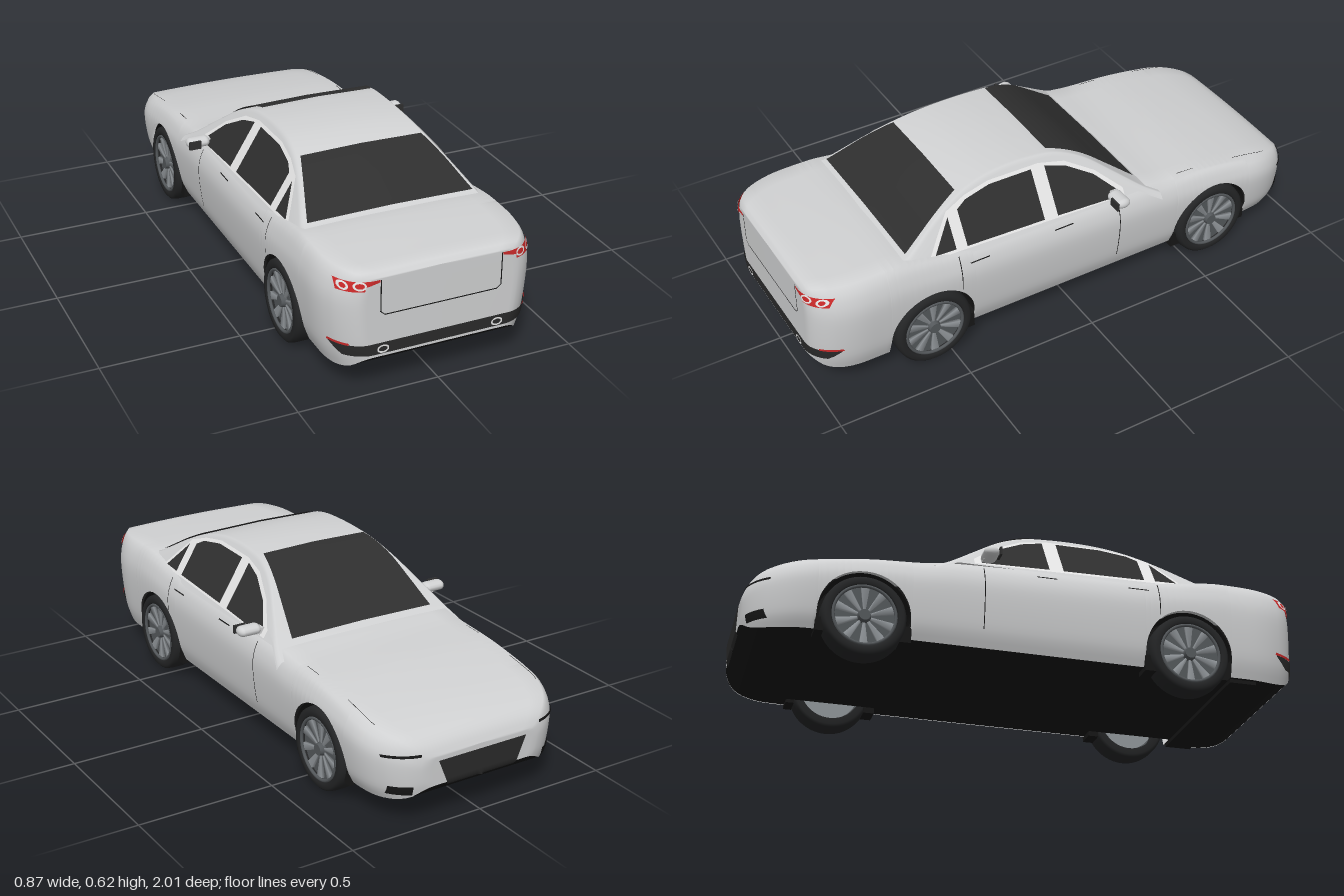
import * as THREE from 'three';

const mat = (name, color) => new THREE.MeshStandardMaterial({ name, color, side: THREE.DoubleSide });

// Smooth lookup through [key, value] pairs
function smooth(pts) {
  const slope = i => {
    const a = pts[Math.max(i - 1, 0)], b = pts[Math.min(i + 1, pts.length - 1)];
    return (b[1] - a[1]) / (b[0] - a[0]);
  };
  return k => {
    if (k <= pts[0][0]) return pts[0][1];
    let i = 0;
    while (i < pts.length - 2 && k > pts[i + 1][0]) i++;
    const [k0, v0] = pts[i], [k1, v1] = pts[i + 1], h = k1 - k0, t = Math.min((k - k0) / h, 1);
    return v0 * (1 + 2 * t) * (1 - t) ** 2 + v1 * t * t * (3 - 2 * t)
      + slope(i) * h * t * (1 - t) ** 2 - slope(i + 1) * h * t * t * (1 - t);
  };
}
const lerp = THREE.MathUtils.lerp;

// Surface grid from a function of u and v in 0..1
function grid(nu, nv, fn) {
  const pos = [], idx = [];
  for (let j = 0; j <= nv; j++) for (let i = 0; i <= nu; i++) pos.push(...fn(i / nu, j / nv, i, j));
  for (let j = 0; j < nv; j++) for (let i = 0; i < nu; i++) {
    const a = j * (nu + 1) + i, d = a + nu + 1;
    idx.push(a, a + 1, d, a + 1, d + 1, d);
  }
  const g = new THREE.BufferGeometry();
  g.setAttribute('position', new THREE.Float32BufferAttribute(pos, 3));
  g.setIndex(idx);
  g.computeVertexNormals();
  return g;
}

// Lower body rules: deck height, sill height, plan width and side bulge
const deck = smooth([[-1, .24], [-.98, .275], [-.95, .3], [-.9, .32], [-.8, .345], [-.6, .375], [-.4, .388], [-.3, .4],
  [0, .41], [.4, .421], [.5, .428], [.6, .442], [.7, .452], [.9, .446], [.98, .438], [1, .42]]);
const sill = smooth([[-1, .14], [-.97, .105], [-.9, .09], [-.8, .09], [.8, .085], [.9, .085], [.96, .1], [1, .135]]);
const bulge = smooth([[0, .9], [.15, .95], [.35, .98], [.6, 1], [.75, .997], [.87, .97], [.95, .938], [1, .9]]);
const plan = z => {
  const [a, base, p] = z < 0 ? [.77, .2, 2.2] : [.8, .262, 2.1];
  const d = Math.min(Math.max((Math.abs(z) - a) / (1 - a), 0), 1);
  return base + (.383 - base) * Math.sqrt(1 - d ** p);
};
const halfWidth = (z, y) => {
  const s = (y - sill(z)) / (deck(z) - sill(z));
  return s < 0 || s > 1 ? 0 : plan(z) * bulge(s);
};
// Depth of the body end at x, y (dir 1 = +z end, -1 = -z end)
const endZ = (x, y, dir) => {
  let lo = .5, hi = 1;
  for (let i = 0; i < 24; i++) {
    const m = (lo + hi) / 2;
    if (halfWidth(m * dir, y) >= Math.abs(x)) lo = m; else hi = m;
  }
  return lo * dir;
};
// Point just outside the body end
const endPoint = (x, y, dir, lift) => [x * 1.008, y, endZ(x, y, dir) + dir * lift];

// Wheel arches
const AXLES = [-.6, .57], ARCH = .162, AXLE_Y = .147;
const archAt = z => AXLES.find(c => Math.abs(z - c) <= ARCH + 1e-6);
const lowerEdge = z => {
  const c = archAt(z);
  return c === undefined ? sill(z) : AXLE_Y + Math.sqrt(Math.max(ARCH ** 2 - (z - c) ** 2, 0));
};
function stations() {
  const zs = [];
  for (let i = 0; i <= 80; i++) zs.push(-1 + i / 40);
  for (const e of [.938, .963, .984, .99, .995, .998]) zs.push(e, -e);
  for (const c of AXLES) {
    for (let i = 0; i <= 20; i++) zs.push(c - ARCH * Math.cos(i * Math.PI / 20));
    zs.push(c - ARCH - .001, c + ARCH + .001);
  }
  return zs.sort((a, b) => a - b);
}

// Cabin rules: roof line and the flat inward lean of the sides
const roof = smooth([[-.36, .372], [-.3, .408], [-.2, .484], [-.1, .557], [0, .6], [.1, .613], [.2, .615], [.3, .606],
  [.4, .58], [.5, .534], [.6, .475], [.64, .453], [.7, .437]]);
const lean = y => .348 - .62 * (y - .42);
const roofEdge = z => lean(roof(z) - .014) - .017;
const roofY = (x, z) => roof(z) + .005 * (1 - Math.min(Math.abs(x) / roofEdge(z), 1));

export function createModel() {
  const paint = mat('body paint', 0xd0d1d2), glass = mat('dark glass', 0x2f2f2f), black = mat('black plastic', 0x161616);
  const rubber = mat('tyre rubber', 0x242526), alloy = mat('wheel alloy', 0x8f9498), rimGrey = mat('rim grey', 0x54585b);
  const red = mat('lamp red', 0xcc2a2a), trim = mat('bright trim', 0xe6e6e6), bumper = mat('bumper grey', 0x2a2a2a);
  const car = new THREE.Group();
  car.name = 'sedan';
  const add = (name, geo, m, parent = car) => {
    const mesh = new THREE.Mesh(geo, m);
    mesh.name = name;
    parent.add(mesh);
    return mesh;
  };

  // Body shell, lofted along z with closed ends
  const zs = stations(), N = 20, SIDE = 15;
  const rows = [zs[0], ...zs, zs[zs.length - 1]];
  add('bodyShell', grid(2 * N, rows.length - 1, (u, v, i, j) => {
    const z = rows[j], k = i <= N ? i : 2 * N - i, T = deck(z), B = sill(z);
    const s0 = (lowerEdge(z) - B) / (T - B), s = lerp(s0, 1, Math.min(k / SIDE, 1));
    const c = Math.max(k - SIDE, 0) / (N - SIDE);
    const end = j === 0 || j === rows.length - 1 ? 0 : 1;
    const x = plan(z) * bulge(s) * (1 - c) * end;
    return [i <= N ? x : -x, B + (T - B) * s + .005 * Math.sin(c * Math.PI / 2), z];
  }), paint);

  // Floor, rear tray and the inner walls of the wheel wells
  add('floor', grid(2, zs.length - 1, (u, v, i, j) => {
    const z = zs[j], w = archAt(z) === undefined ? plan(z) * .895 : .285;
    return [w * (1 - i), sill(z) + .001, z];
  }), black);
  add('rearTray', new THREE.BoxGeometry(.66, .015, .1).translate(0, .08, .785), black);
  add('chassis', new THREE.BoxGeometry(.57, .215, 1.6).translate(0, .2075, 0), black);

  // Cabin shell
  add('cabinShell', grid(12, 72, (u, v, i) => {
    const z = lerp(-.36, .7, v), k = i <= 6 ? i : 12 - i, top = roof(z) - .014, e = roofEdge(z);
    const y0 = Math.min(.4, top - .01);
    const [x, y] = k < 3 ? [lean(lerp(y0, top, k / 2)), lerp(y0, top, k / 2)]
      : k === 3 ? [e + .007, roof(z) - .004]
        : [e * (1 - (k - 4) / 2), roofY(e * (1 - (k - 4) / 2), z)];
    return [i <= 6 ? x : -x, y, z];
  }), paint);

  // Windscreen and rear window follow the roof line
  const screen = (name, z0, z1, w0, w1) => add(name, grid(12, 24, (u, v) => {
    const z = lerp(z0, z1, v), x = lerp(1, -1, u) * lerp(w0, w1, v);
    return [x, roofY(x, z) + .006, z];
  }), glass);
  screen('windscreen', -.295, .03, .292, .214);
  screen('rearWindow', .4, .637, .228, .308);

  // Thin plates that follow the body ends
  const endPatch = (name, dir, x0, x1, lowY, highY, m, parent, lift = .004) =>
    add(name, grid(48, 6, (u, v) => {
      const x = lerp(x0, x1, dir > 0 ? u : 1 - u);
      return endPoint(x, lerp(lowY(x), highY(x), v), dir, lift);
    }), m, parent);
  const at = y => () => y;
  const ring = (name, cx, cy, rx, ry, parent) => add(name, grid(32, 1, (u, v) => {
    const a = u * Math.PI * 2;
    return endPoint(cx + (rx - .006 * v) * Math.cos(a), cy + (ry - .006 * v) * Math.sin(a), 1, .007);
  }), trim, parent);

  // Rear bumper band, boot seam and grille
  const bandLow = x => .147 + Math.max(Math.abs(x) - .33, 0) * 1.5;
  endPatch('rearBumperBand', 1, -.355, .355, bandLow, at(.188), bumper);
  endPatch('bootSeamBottom', 1, -.2, .2, at(.288), at(.292), black);
  add('grille', grid(32, 8, (u, v) => {
    const y = lerp(.13, .228, v), x = lerp(1, -1, u) * lerp(.135, .175, v);
    return endPoint(x, y, -1, .004);
  }), bumper);

  // Everything that comes in left and right pairs
  for (const side of [1, -1]) {
    const half = new THREE.Group();
    half.name = side > 0 ? 'leftParts' : 'rightParts';
    half.scale.x = side;
    car.add(half);

    // Side windows on a bright frame
    const pane = (name, pts, m, lift) => {
      const g = new THREE.ShapeGeometry(new THREE.Shape(pts.map(p => new THREE.Vector2(-p[0], p[1]))));
      const p = g.attributes.position;
      for (let i = 0; i < p.count; i++) p.setXYZ(i, lean(p.getY(i)) + lift, p.getY(i), -p.getX(i));
      g.computeVertexNormals();
      add(name, g, m, half);
    };
    pane('windowFrame', [[.565, .425], [.51, .49], [.46, .545], [.38, .573], [.28, .59], [.08, .588], [-.02, .568],
      [-.125, .51], [-.215, .43], [-.215, .405]], trim, .002);
    pane('frontWindow', [[.06, .576], [.06, .42], [-.19, .41], [-.19, .432], [-.115, .502], [-.02, .554]], glass, .005);
    pane('rearSideWindow', [[.418, .43], [.418, .542], [.38, .562], [.28, .58], [.113, .579], [.113, .422]], glass, .005);
    pane('quarterWindow', [[.46, .53], [.46, .432], [.54, .435]], glass, .005);

    // Door seams and handles
    const sidePatch = (name, z0, z1, y0, y1) => add(name, grid(10, 3, (u, v) => {
      const z = lerp(z0, z1, v), y = lerp(y0, y1, u);
      return [halfWidth(z, y) + .003, y, z];
    }), black, half);
    sidePatch('frontDoorSeam', -.185, -.182, .15, .385);
    sidePatch('rearDoorSeam', .459, .462, .28, .41);
    for (const z of [.385, .045]) sidePatch('doorHandle', z - .038, z + .038, .374, .378);

    // Bonnet seam, in short runs
    for (const [z0, z1] of [[-.86, -.71], [-.53, -.46]]) {
      add('bonnetSeam', grid(1, 12, (u, v) => {
        const z = lerp(z0, z1, v);
        return [Math.min(.331, plan(z) * .88) + .002 * u, deck(z) + .004, z];
      }), black, half);
    }

    // Tail lamp, reflector, exhaust and boot seam
    endPatch('tailLampOuter', 1, .268, .345, at(.386), at(.419), red, half);
    endPatch('tailLampInner', 1, .218, .268, x => .41 - (x - .218) * .2, at(.419), red, half);
    ring('tailLampRing', .285, .406, .02, .015, half);
    ring('tailLampSmallRing', .329, .404, .013, .014, half);
    endPatch('reflector', 1, .313, .358, at(.187), at(.196), red, half, .006);
    ring('exhaustRing', .205, .166, .021, .015, half);
    endPatch('bootSeamSide', 1, .213, .217, at(.303), at(.418), black, half);
    endPatch('bootSeamCorner', 1, .2, .217, x => .288 + (x - .2) * .9, x => .292 + (x - .2) * .9, black, half);

    // Head lamp slit and front intake
    endPatch('headLamp', -1, .235, .345, at(.253), at(.262), black, half);
    endPatch('frontIntake', -1, .26, .325, at(.118), at(.15), black, half);

    // Door mirror
    const mirror = new THREE.CapsuleGeometry(.019, .05, 6, 14).rotateZ(Math.PI / 2).scale(1, 1, 1.5);
    add('mirrorHousing', mirror.translate(.392, .428, -.168), paint, half);
    add('mirrorArm', new THREE.BoxGeometry(.05, .022, .03).translate(.358, .424, -.175), paint, half);
    add('mirrorGlass', new THREE.BoxGeometry(.045, .03, .008).translate(.412, .428, -.139), glass, half);

    // Wheels, arch liners and mud flaps
    for (const z of AXLES) {
      const wheel = new THREE.Group();
      wheel.name = z < 0 ? 'frontWheel' : 'rearWheel';
      wheel.position.set(.336, AXLE_Y, z);
      half.add(wheel);
      const profile = [[.112, -.046], [.135, -.046], [.144, -.038], [.147, -.02], [.147, .02], [.144, .038], [.135, .046],
        [.118, .047], [.112, .04], [.112, -.046]].map(p => new THREE.Vector2(...p));
      const across = g => g.rotateZ(-Math.PI / 2);
      add('tyre', across(new THREE.LatheGeometry(profile, 48)), rubber, wheel);
      add('rimDisc', across(new THREE.CylinderGeometry(.113, .113, .01, 40)).translate(.02, 0, 0), rimGrey, wheel);
      add('rimRing', new THREE.TorusGeometry(.108, .006, 8, 40).rotateY(Math.PI / 2).translate(.04, 0, 0), rimGrey, wheel);
      add('innerDisc', across(new THREE.CylinderGeometry(.105, .105, .006, 40)).translate(-.02, 0, 0), alloy, wheel);
      add('hub', across(new THREE.CylinderGeometry(.02, .026, .025, 20)).translate(.033, 0, 0), rimGrey, wheel);
      for (let i = 0; i < 10; i++) {
        const spoke = new THREE.CylinderGeometry(.02, .006, .08, 4, 1).rotateY(Math.PI / 4).scale(.5, 1, 1);
        add('spoke', spoke.translate(.03, .064, 0).rotateX(i * Math.PI / 5), alloy, wheel);
      }
      const liner = new THREE.CylinderGeometry(ARCH - .001, ARCH - .001, .088, 32, 1, true, 0, Math.PI);
      add('archLiner', liner.rotateZ(Math.PI / 2).translate(.324, AXLE_Y, z), black, half);
      add('mudFlap', new THREE.BoxGeometry(.07, .06, .04).translate(.325, .1, z > 0 ? z - .145 : z + .145), black, half);
      if (z < 0) add('frontFlap', new THREE.BoxGeometry(.07, .05, .03).translate(.325, .105, z - .15), black, half);
    }
  }
  return car;
}
